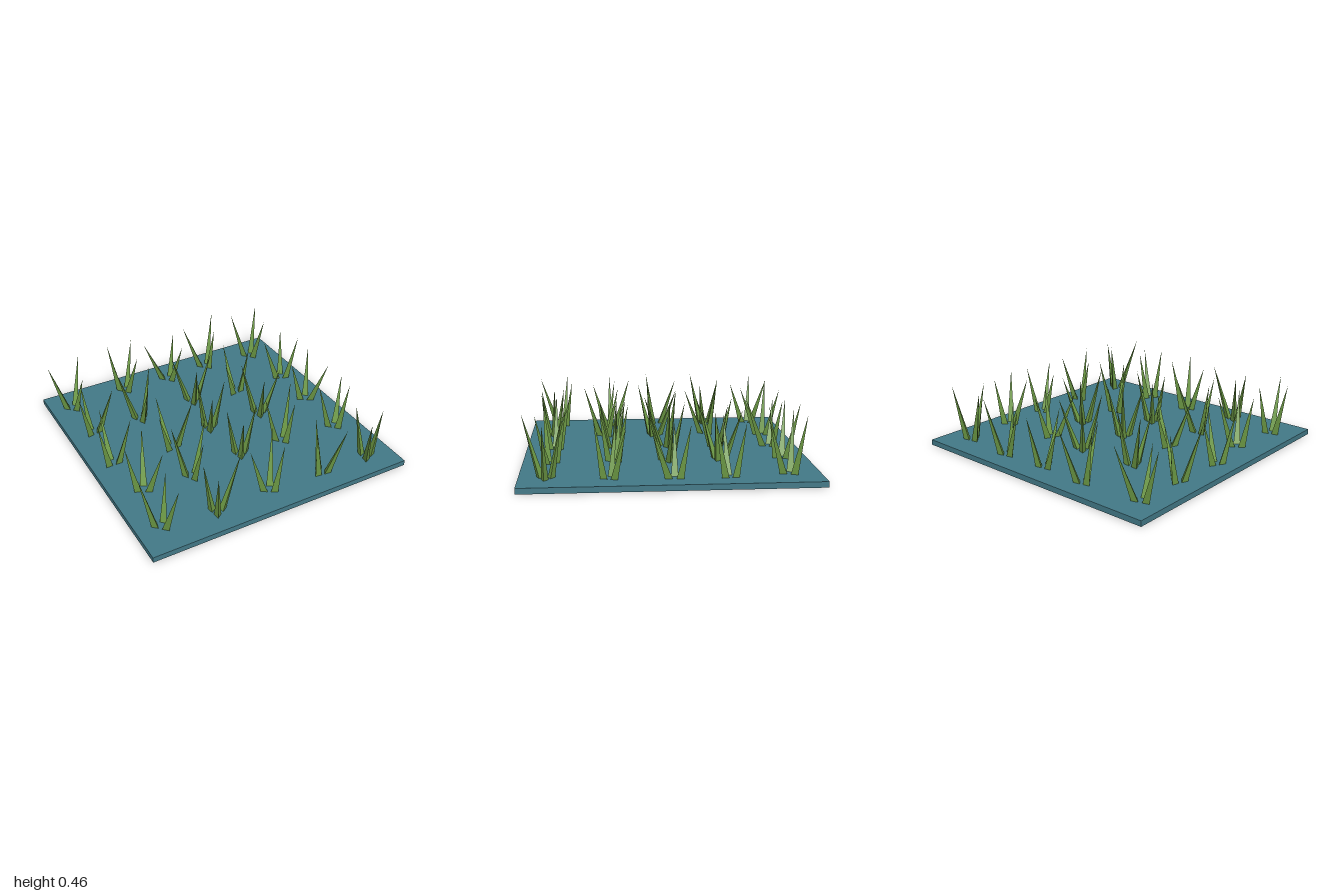
import * as THREE from 'three';

// One row per tuft: centre x, centre z, heading of the first blade (degrees),
// then the reach of its three blades; lengths are in hundredths of a unit.
const TUFTS = [
  [-83, -78, 74, 16, 16, 18], [-37, -82, 78, 19, 12, 16], [1, -80, 79, 19, 19, 12],
  [37, -82, 77, 10, 19, 15], [78, -79, 78, 16, 17, 13],
  [-82, -41, 19, 17, 16, 12], [-43, -39, 95, 18, 17, 12], [3, -41, -14, 19, 17, 17],
  [39, -37, 24, 10, 19, 17], [83, -38, 53, 13, 19, 11],
  [-84, 0, 29, 15, 13, 17], [-39, 4, 21, 16, 18, 18], [-3, -3, -8, 14, 17, 10],
  [40, -1, -7, 19, 16, 16], [83, -2, 64, 18, 14, 12],
  [-77, 37, 57, 17, 12, 17], [-41, 41, 90, 17, 14, 18], [1, 36, -8, 14, 11, 11],
  [37, 36, 80, 11, 14, 14], [81, 40, 77, 11, 14, 15],
  [-82, 76, 75, 18, 14, 11], [-44, 82, -6, 19, 10, 10], [-1, 79, 63, 10, 16, 14],
  [40, 81, 35, 16, 10, 12], [79, 82, 6, 10, 19, 12],
];

const PLATE_HEIGHT = 0.04;
const ROOT_RADIUS = 0.035; // distance of each blade foot from the tuft centre
const BLADE_RADIUS = 0.03;

function seeded(seed) {
  let s = seed;
  return () => (s = (s * 16807) % 2147483647) / 2147483647;
}

// Three-sided spike with a flat face inward, leaning outward along +x
function bladeGeometry(length, reach) {
  const g = new THREE.ConeGeometry(BLADE_RADIUS, length, 3);
  g.translate(0, length / 2, 0);
  g.rotateY(Math.PI / 2);
  g.rotateZ(-Math.asin((reach - ROOT_RADIUS) / length));
  g.translate(ROOT_RADIUS, 0.012, 0);
  return g;
}

export function createModel() {
  const model = new THREE.Group();
  const teal = new THREE.MeshStandardMaterial({ color: 0x437a88, side: THREE.DoubleSide });
  teal.name = 'teal';
  const green = new THREE.MeshStandardMaterial({ color: 0x6d9a45, flatShading: true });
  green.name = 'grass green';

  // Ground tray: a top sheet with four skirts, open underneath
  const ground = new THREE.Group();
  ground.name = 'ground';
  const top = new THREE.Mesh(new THREE.PlaneGeometry(2, 2).rotateX(-Math.PI / 2), teal);
  top.name = 'groundTop';
  top.position.y = PLATE_HEIGHT;
  ground.add(top);
  for (let i = 0; i < 4; i++) {
    const skirt = new THREE.Mesh(
      new THREE.PlaneGeometry(2, PLATE_HEIGHT).translate(0, PLATE_HEIGHT / 2, 1), teal);
    skirt.name = 'groundSkirt';
    skirt.rotation.y = (i * Math.PI) / 2;
    ground.add(skirt);
  }
  model.add(ground);

  // Grass tufts, three blades each
  const random = seeded(4711);
  for (const [x, z, heading, ...reaches] of TUFTS) {
    const tuft = new THREE.Group();
    tuft.name = 'grassTuft';
    tuft.position.set(x / 100, 0, z / 100);
    reaches.forEach((reach, i) => {
      const length = 0.38 + 0.08 * random();
      const blade = new THREE.Mesh(bladeGeometry(length, reach / 100), green);
      blade.name = 'grassBlade';
      blade.rotation.y = -THREE.MathUtils.degToRad(heading + i * 120);
      tuft.add(blade);
    });
    model.add(tuft);
  }
  return model;
}
